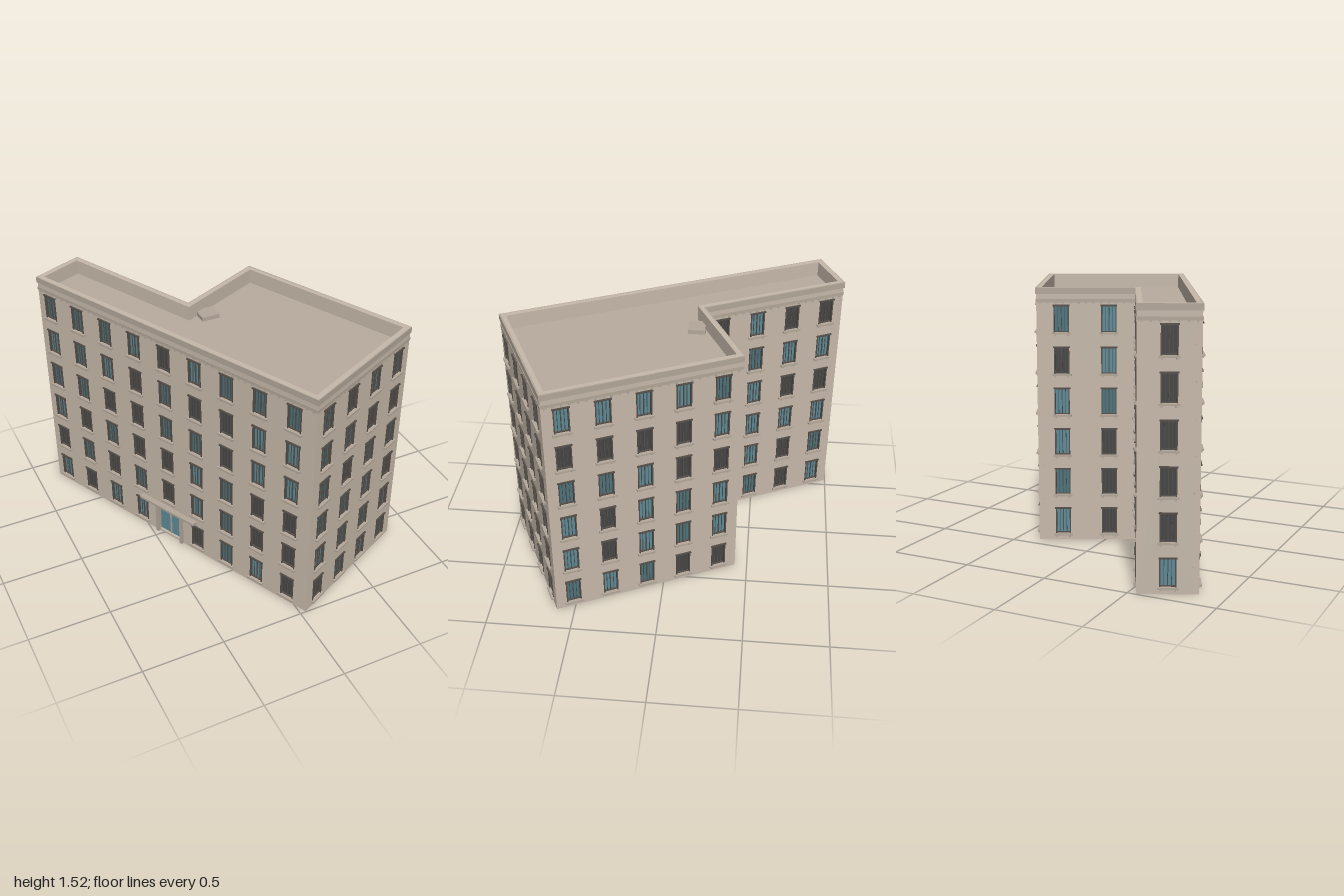
import * as THREE from 'three';
import { mergeGeometries } from 'three/addons/utils/BufferGeometryUtils.js';

const HEIGHT = 1.52, ROOF = 1.43, THICK = 0.03;
const FLOORS = 6, FLOOR_STEP = 0.244, SILL_Y = 0.04;
const WIN_W = 0.09, WIN_H = 0.155;

// Footprint corners [x, z], anticlockwise seen from above, and where the
// windows stand along the wall that starts at each corner (0 to 1).
const row = (n, a, b) => Array.from({ length: n }, (_, i) => a + (b - a) * i / (n - 1));
const WALLS = [
  { name: 'streetWall', from: [-0.85, -0.86], at: row(9, 0.046, 0.932), door: 4 },
  { name: 'frontWall', from: [0.035, 0.995], at: row(4, 0.12, 0.877) },
  { name: 'sideWall', from: [0.85, 0.605], at: row(5, 0.095, 0.9) },
  { name: 'courtWall', from: [0.36, -0.425], at: [0.25, 0.73], extendEnd: true },
  { name: 'wingCourtWall', from: [-0.16, -0.175], at: row(4, 0.128, 0.882), extendStart: true },
  { name: 'wingEndWall', from: [-0.55, -0.995], at: [0.5] },
];

const mat = (color, side = THREE.FrontSide) => new THREE.MeshStandardMaterial({ color, side });

// Box centred on x, standing on y, spanning z0 to z1
function box(w, h, x, y, z0, z1) {
  return new THREE.BoxGeometry(w, h, z1 - z0).translate(x, y + h / 2, (z0 + z1) / 2);
}

function mesh(name, geometry, material) {
  const m = new THREE.Mesh(geometry, material);
  m.name = name;
  return m;
}

function rectHole(x, y, w, h) {
  return new THREE.Path([
    [x - w / 2, y], [x - w / 2, y + h], [x + w / 2, y + h], [x + w / 2, y],
  ].map(p => new THREE.Vector2(...p)));
}

// Window pieces, with the origin at the middle of the opening's bottom edge
function windowParts() {
  const t = 0.007, frame = [], trim = [];
  for (const s of [-1, 1]) {
    frame.push(box(t, WIN_H, s * (WIN_W / 2 - t / 2), 0, -0.02, 0.004));
    frame.push(box(0.003, WIN_H, s * 0.02, 0, -0.017, -0.009));
    trim.push(box(0.01, 0.01, s * 0.038, -0.022, 0, 0.01));
  }
  frame.push(box(0.005, WIN_H, 0, 0, -0.018, -0.006));
  frame.push(box(WIN_W, 0.006, 0, 0, -0.02, -0.004));
  frame.push(box(WIN_W, 0.006, 0, WIN_H - 0.006, -0.02, -0.004));
  frame.push(box(WIN_W + 0.008, 0.008, 0, WIN_H - 0.002, -0.02, 0.01));
  trim.push(box(WIN_W + 0.022, 0.012, 0, -0.012, -0.02, 0.016));
  return {
    frame: mergeGeometries(frame),
    sill: mergeGeometries(trim),
    pane: box(WIN_W, WIN_H, 0, 0, -0.02, -0.014),
  };
}

export function createModel() {
  const model = new THREE.Group();
  model.name = 'apartmentBuilding';
  const stone = mat(0xc6b9aa);
  const stoneTrim = mat(0xb3a799);
  const frameMat = mat(0x554f49);
  const panes = [mat(0x5c8c99), mat(0x4b747f), mat(0x454545)];
  const parts = windowParts();

  let seed = 7;
  const random = () => (seed = (seed * 16807) % 2147483647) / 2147483647;

  WALLS.forEach((wall, k) => {
    const [x0, z0] = wall.from;
    const [x1, z1] = WALLS[(k + 1) % WALLS.length].from;
    const length = Math.hypot(x1 - x0, z1 - z0);

    // Each side is built facing +z, with x running along it
    const side = new THREE.Group();
    side.name = wall.name;
    side.position.set(x0, 0, z0);
    side.rotation.y = Math.atan2(-(z1 - z0), x1 - x0);
    model.add(side);

    // Wall slab with openings; ends run on at the inner corner to close it
    const a = wall.extendStart ? -THICK : 0;
    const b = length + (wall.extendEnd ? THICK : 0);
    const shape = new THREE.Shape([
      [a, 0], [b, 0], [b, HEIGHT], [a, HEIGHT],
    ].map(p => new THREE.Vector2(...p)));

    for (let floor = 0; floor < FLOORS; floor++) {
      wall.at.forEach((f, i) => {
        const x = f * length, y = SILL_Y + floor * FLOOR_STEP;
        if (floor === 0 && i === wall.door) return;
        shape.holes.push(rectHole(x, y, WIN_W, WIN_H));
        const win = new THREE.Group();
        win.name = 'window';
        win.position.set(x, y, 0);
        win.add(
          mesh('windowFrame', parts.frame, frameMat),
          mesh('windowSill', parts.sill, stoneTrim),
          mesh('windowPane', parts.pane, panes[Math.floor(random() * 3)]),
        );
        side.add(win);
      });
    }

    // Entrance with posts and a canopy
    if (wall.door !== undefined) {
      const x = wall.at[wall.door] * length;
      shape.holes.push(rectHole(x, 0.015, 0.19, 0.205));
      const surround = [
        box(0.19, 0.02, x, 0.2, -0.02, 0.004),
        box(0.008, 0.185, x, 0.015, -0.02, -0.006),
      ];
      for (const s of [-1, 1]) surround.push(box(0.02, 0.222, x + s * 0.098, 0, -0.02, 0.016));
      const entrance = new THREE.Group();
      entrance.name = 'entrance';
      entrance.add(
        mesh('doorSurround', mergeGeometries(surround), stoneTrim),
        mesh('doorPane', box(0.18, 0.19, x, 0.015, -0.02, -0.014), panes[0]),
        mesh('canopy', box(0.44, 0.016, x, 0.224, -0.005, 0.035), stoneTrim),
      );
      side.add(entrance);
    }

    const slab = new THREE.ExtrudeGeometry(shape, { depth: THICK, bevelEnabled: false });
    side.add(mesh('wall', slab.translate(0, 0, -THICK), stone));

    // Cornice bands and the dentils below them
    const mid = length / 2;
    const cornice = [
      box(length + 0.006, 0.02, mid, 1.435, -0.005, 0.003),
      box(length + 0.01, 0.036, mid, 1.484, -0.005, 0.005),
    ];
    const count = Math.round(length / 0.045);
    for (let i = 0; i < count; i++) {
      cornice.push(box(0.012, 0.008, (i + 0.5) * length / count, 1.427, -0.002, 0.004));
    }
    side.add(mesh('cornice', mergeGeometries(cornice), stoneTrim));
  });

  // Flat roof behind the parapet
  const outline = new THREE.Shape(WALLS.map(w => new THREE.Vector2(w.from[0], -w.from[1])));
  const roof = mesh('roof', new THREE.ShapeGeometry(outline).rotateX(-Math.PI / 2),
    mat(0xb9aca0, THREE.DoubleSide));
  roof.position.y = ROOF;
  model.add(roof);

  // Roof hatch in the inner corner
  model.add(mesh('roofHatch', box(0.11, 0.025, -0.055, ROOF, -0.19, -0.09), stoneTrim));

  return model;
}
